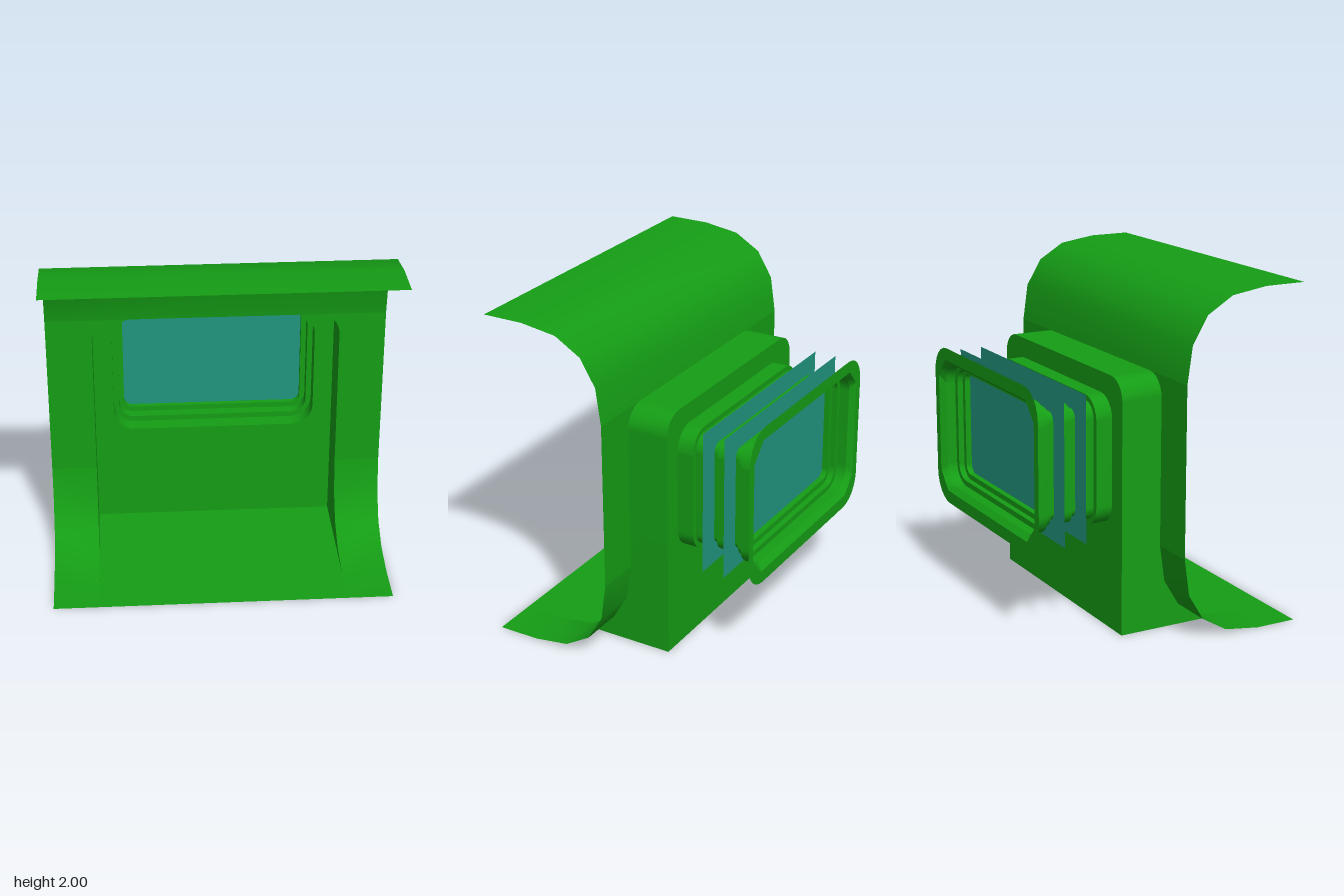
import * as THREE from 'three';
import { mergeGeometries } from 'three/addons/utils/BufferGeometryUtils.js';

const shellMat = new THREE.MeshStandardMaterial({ color: 0x159d15, side: THREE.DoubleSide });
const glassMat = new THREE.MeshStandardMaterial({ color: 0x209680, side: THREE.DoubleSide });

const HALF = 1, RECESS = 0.73, TOP = 1.5, DEPTH = -0.25, R = 0.13, CY = 1;

// Smooth sheet between two rows of [x, y, z] points
function sheet(rowA, rowB) {
  const n = rowA.length, index = [];
  for (let i = 0; i < n - 1; i++) index.push(i, i + 1, n + i + 1, i, n + i + 1, n + i);
  const g = new THREE.BufferGeometry();
  g.setAttribute('position', new THREE.Float32BufferAttribute([...rowA, ...rowB].flat(), 3));
  g.setIndex(index);
  g.computeVertexNormals();
  return g;
}

// Points of a quarter-round corner from angle a0, as [x, y]
function corner(cx, cy, r, a0, steps = 6) {
  return Array.from({ length: steps + 1 }, (_, i) => {
    const a = a0 + (i / steps) * Math.PI / 2;
    return [cx + r * Math.cos(a), cy + r * Math.sin(a)];
  });
}

// Closed loop around the window centre, from the corner at upper +x mirrored to all four
function loop(quarter) {
  const flip = (sx, sy) => quarter.map(([x, y]) => [sx * x, CY + sy * y]);
  const pts = [...flip(1, 1), ...flip(-1, 1).reverse(), ...flip(-1, -1), ...flip(1, -1).reverse()];
  return [...pts, pts[0]];
}
const roundedRect = (w, h, r) => loop(corner(w - r, h - r, r, 0));

const toShape = pts => new THREE.Shape(pts.map(p => new THREE.Vector2(...p)));
const at = (pts, z) => pts.map(([x, y]) => [x, y, z]);

export function createModel() {
  const model = new THREE.Group();
  const add = (name, geometry, material = shellMat) => {
    const m = new THREE.Mesh(geometry, material);
    m.name = name;
    model.add(m);
    return m;
  };

  // Side profile curves, as [z, y]
  const v = (z, y) => new THREE.Vector2(z, y);
  const curve = (a, b, c) => new THREE.QuadraticBezierCurve(a, b, c).getPoints(4).map(p => [p.x, p.y]);
  const lower = curve(v(0.5, 0), v(0, 0), v(0, 0.5));
  const upper = curve(v(0, 1.5), v(0, 2), v(0.5, 2));
  const strip = (profile, x0, x1) => sheet(
    profile.map(([z, y]) => [x0, y, z]), profile.map(([z, y]) => [x1, y, z]));

  // Wall panel: curved top, flat sides beside the recess, curved foot
  add('panelTop', strip([...upper, [0.75, 2]], -HALF, HALF));
  for (const s of [1, -1]) {
    const name = s > 0 ? 'left' : 'right';
    add(name + 'PanelFoot', strip([[0.75, 0], ...lower], s * RECESS, s * HALF));
    const side = [[HALF, 0.5], [HALF, TOP], ...corner(RECESS - R, TOP - R, R, 0).reverse(), [RECESS, 0.5]];
    add(name + 'PanelSide', new THREE.ShapeGeometry(toShape(side.map(([x, y]) => [s * x, y]))));
  }

  // Recess: arched side walls and ceiling running back from the panel
  const half = [
    ...lower.map(([z, y]) => [RECESS, y, z]),
    ...at(corner(RECESS - R, TOP - R, R, 0), 0),
  ];
  const arch = [...half, ...half.map(([x, y, z]) => [-x, y, z]).reverse()];
  add('recessWalls', sheet(arch, arch.map(([x, y]) => [x, y, DEPTH])));

  // Recess back wall with the window opening
  const back = toShape(arch.map(([x, y]) => [x, y]));
  back.holes.push(new THREE.Path(roundedRect(0.615, 0.38, R).map(p => new THREE.Vector2(...p))));
  add('recessBack', new THREE.ShapeGeometry(back)).position.z = DEPTH;

  // Floor from the back wall to the front edge of the panel
  const floor = add('floor', new THREE.PlaneGeometry(RECESS * 2, 1).rotateX(-Math.PI / 2));
  floor.position.z = 0.25;

  // Stepped window sleeve: [inset, z]
  const steps = [
    [0, -0.25], [0, -0.35], [0.033, -0.35], [0.033, -0.417], [0.065, -0.417], [0.065, -0.485],
    [0.033, -0.485], [0.033, -0.55], [0.065, -0.55], [0.065, -0.62], [0.033, -0.62],
    [0.033, -0.655], [0, -0.655], [0, -0.715],
  ];
  const rings = steps.map(([d, z]) => at(roundedRect(0.615 - d, 0.38 - d, R - 1.2 * d), z));
  // Rear mouth: flared straights joined by chamfered corners
  const chamfer = Array.from({ length: 7 }, (_, i) => [0.64 - 0.1 * i / 6, 0.3 + 0.11 * i / 6]);
  const mouth = at(loop(chamfer), -0.75);
  rings.push(mouth);
  add('windowSleeve', mergeGeometries(rings.slice(1).map((r, i) => sheet(rings[i], r))));

  // Flat rear flange around the mouth
  add('rearFlange', sheet(mouth, at(roundedRect(0.69, 0.485, 0.17), -0.75)));

  // Two window panes
  [-0.45, -0.585].forEach((z, i) => {
    add(i ? 'outerPane' : 'innerPane', new THREE.PlaneGeometry(1.36, 0.86), glassMat).position.set(0, CY, z);
  });

  return model;
}
